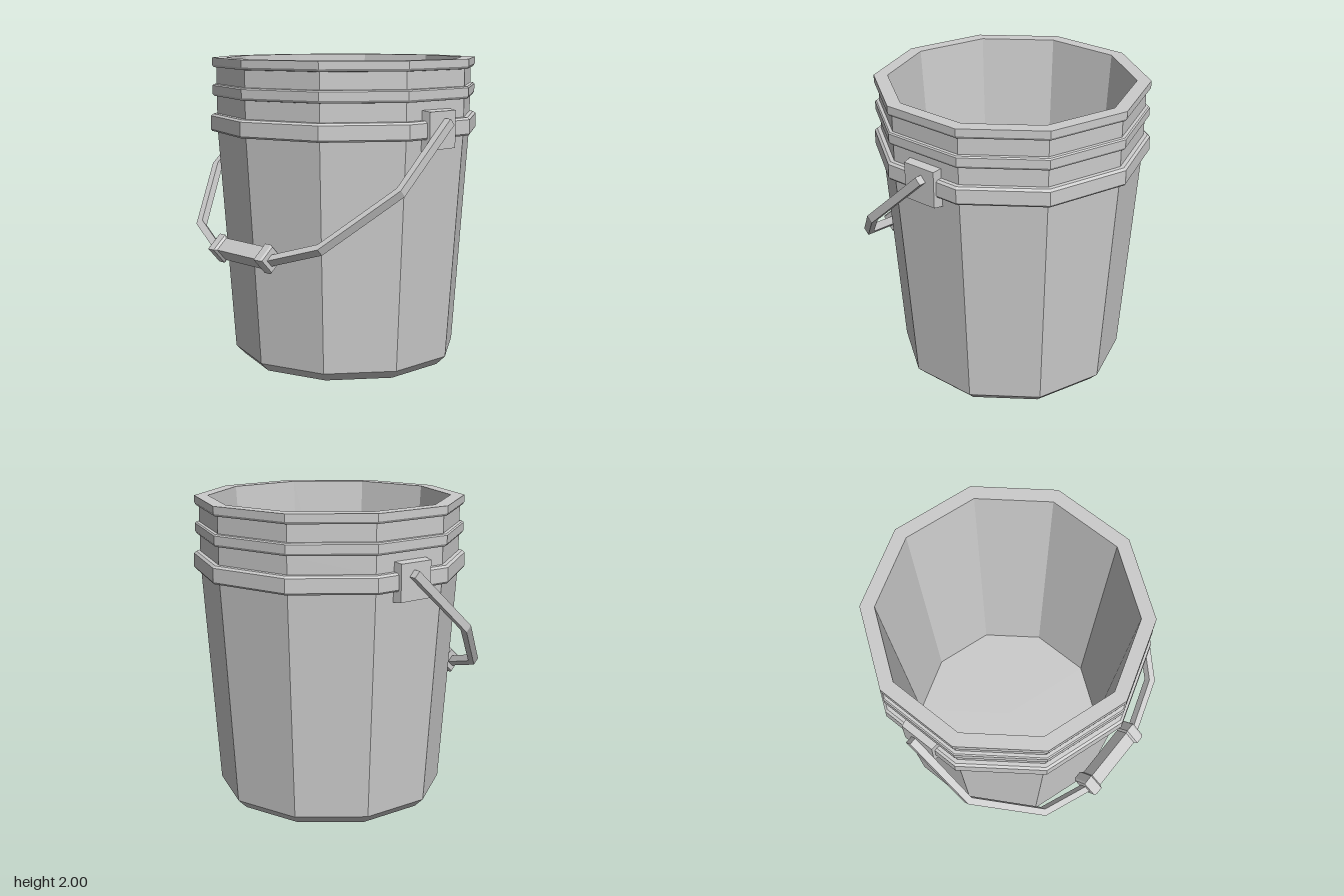
import * as THREE from 'three';

const material = new THREE.MeshStandardMaterial({ color: 0xcccccc, flatShading: true });

function addMesh(parent, name, geometry) {
  const mesh = new THREE.Mesh(geometry, material);
  mesh.name = name;
  parent.add(mesh);
  return mesh;
}

function lathe(points, sides, turn) {
  return new THREE.LatheGeometry(points.map(([r, y]) => new THREE.Vector2(r, y)), sides).rotateY(turn);
}

export function createModel() {
  const model = new THREE.Group();
  model.name = 'bucket';
  const centreX = 0.035;

  // Ten-sided shell: outside with three raised bands, rim, inside wall and floor
  const shell = addMesh(model, 'bucketShell', lathe([
    [0, 0], [0.685, 0], [0.745, 0.06], [0.845, 1.522],
    [0.882, 1.522], [0.89, 1.533], [0.888, 1.622], [0.872, 1.635], [0.847, 1.637],
    [0.847, 1.75], [0.866, 1.752], [0.876, 1.767], [0.876, 1.82], [0.868, 1.828], [0.848, 1.83],
    [0.848, 1.936], [0.866, 1.938], [0.876, 1.953], [0.876, 2],
    [0.787, 2], [0.656, 0.09], [0, 0.09],
  ], 10, Math.PI / 2));
  shell.position.x = centreX;

  // Tapered square mounts for the handle, front and back
  for (const side of [1, -1]) {
    const geometry = new THREE.CylinderGeometry(0.117 * Math.SQRT2, 0.126 * Math.SQRT2, 0.07, 4)
      .rotateY(Math.PI / 4).rotateX(side * Math.PI / 2);
    const mount = addMesh(model, side > 0 ? 'frontMount' : 'backMount', geometry);
    mount.position.set(centreX, 1.574, side * 0.829);
  }

  // Handle assembly: local x runs down the tilted handle, local y is the model's z
  const handle = new THREE.Group();
  handle.name = 'handle';
  const down = new THREE.Vector3(-0.738, -0.675, 0).normalize();
  const across = new THREE.Vector3(0, 0, 1);
  handle.quaternion.setFromRotationMatrix(
    new THREE.Matrix4().makeBasis(down, across, down.clone().cross(across)));
  handle.position.set(0.069, 1.626, 0);
  model.add(handle);

  // Bent bar, outlined by an outer and an inner path
  const mirror = (path) => [...path, ...path.map(([u, w]) => [u, -w]).reverse()];
  const outer = mirror([[0, 0.912], [0.589, 0.912], [1.103, 0.6], [1.253, 0.27]]);
  const inner = mirror([[0, 0.863], [0.575, 0.868], [1.065, 0.572], [1.208, 0.26]]);
  const outline = [...outer, ...inner.reverse()].map(([u, w]) => new THREE.Vector2(u, w));
  const depth = 0.053;
  addMesh(handle, 'handleBar', new THREE.ExtrudeGeometry(new THREE.Shape(outline),
    { depth, bevelEnabled: false }).translate(0, 0, -depth / 2));

  // Square grip with a flange at each end
  const grip = addMesh(handle, 'handleGrip', lathe([
    [0, -0.268], [0.056, -0.268], [0.064, -0.255], [0.064, -0.2], [0.05, -0.188],
    [0.05, 0.188], [0.064, 0.2], [0.064, 0.255], [0.056, 0.268], [0, 0.268],
  ].map(([r, y]) => [r * Math.SQRT2, y]), 4, Math.PI / 4));
  grip.position.x = 1.223;

  return model;
}
